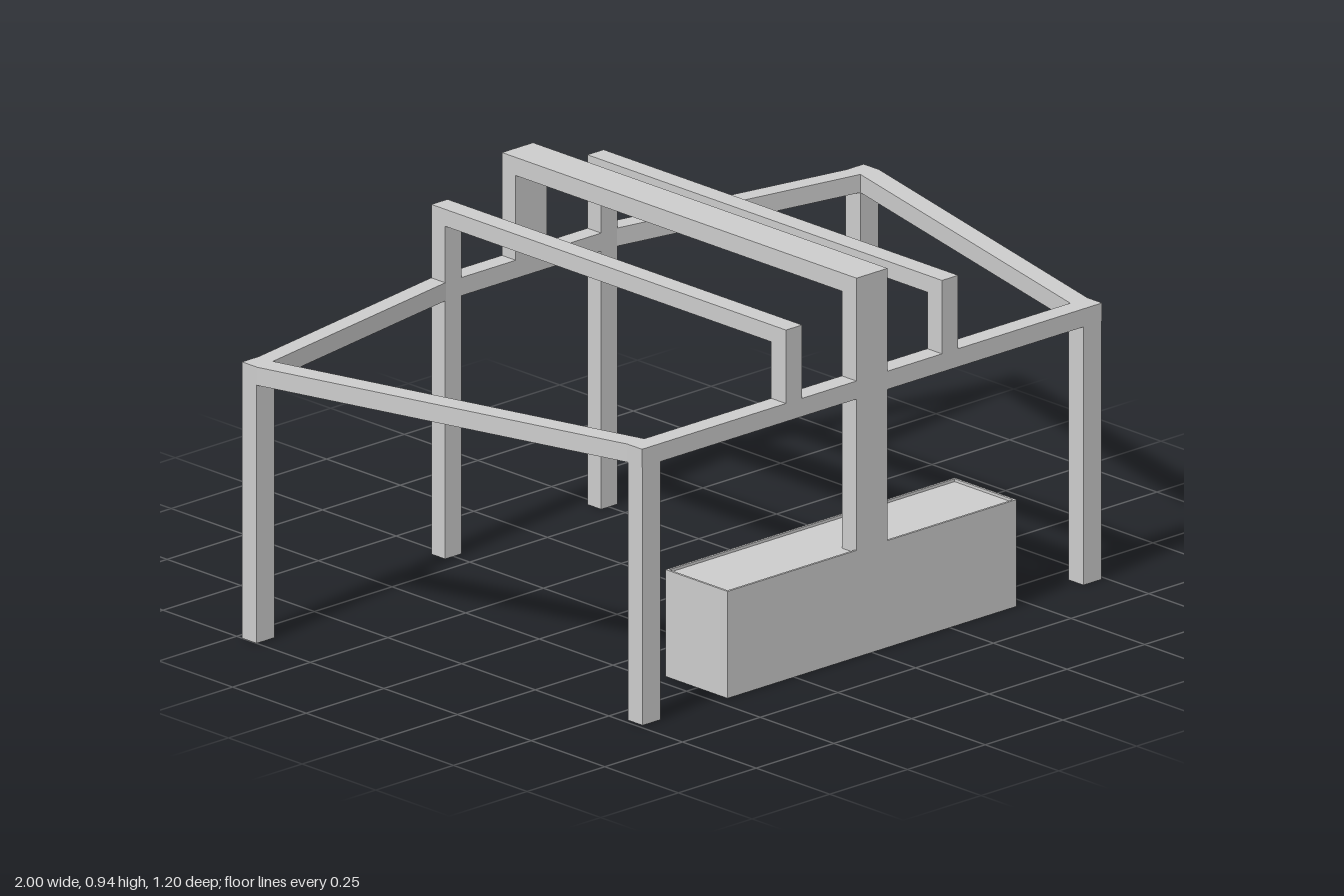
import * as THREE from 'three';

const material = new THREE.MeshStandardMaterial({ color: 0xcccccc, side: THREE.DoubleSide, flatShading: true });

// Box given by its limits; an open one has no bottom face
function box(name, [x0, x1], [y0, y1], [z0, z1], open = false) {
  const g = new THREE.BoxGeometry(x1 - x0, y1 - y0, z1 - z0);
  if (open) {
    const index = Array.from(g.index.array);
    index.splice(18, 6);
    g.setIndex(index);
    g.clearGroups();
  }
  g.translate((x0 + x1) / 2, (y0 + y1) / 2, (z0 + z1) / 2);
  const mesh = new THREE.Mesh(g, material);
  mesh.name = name;
  return mesh;
}

// Mirror-symmetric outline from its +x half, listed front to back as [x, z]
function outline(half, PathType) {
  const left = half.map(([x, z]) => new THREE.Vector2(x, -z));
  const right = half.map(([x, z]) => new THREE.Vector2(-x, -z)).reverse();
  return new PathType([...left, ...right]);
}

export function createModel() {
  const model = new THREE.Group();
  const FRONT = [0.552, 0.602], BACK = [-0.602, -0.555];
  const ringBottom = 0.64, ringTop = 0.685;

  // Horizontal ring frame
  const shape = outline([[0.74, 0.602], [0.74, 0.552], [1, -0.43], [1, -0.482], [0.945, -0.482], [0.28, -0.602]], THREE.Shape);
  shape.holes.push(outline([[0.685, 0.552], [0.945, -0.435], [0.275, -0.555]], THREE.Path));
  const ringGeometry = new THREE.ExtrudeGeometry(shape, { depth: ringTop - ringBottom, bevelEnabled: false });
  ringGeometry.rotateX(-Math.PI / 2).translate(0, ringBottom, 0);
  const ring = new THREE.Mesh(ringGeometry, material);
  ring.name = 'ringFrame';
  model.add(ring);

  for (const side of [1, -1]) {
    const span = (a, b) => (side > 0 ? [a, b] : [-b, -a]);
    const tag = side > 0 ? 'Left' : 'Right';
    // Corner legs
    model.add(box('frontLeg' + tag, span(0.68, 0.738), [0, ringBottom], FRONT, true));
    model.add(box('backCornerLeg' + tag, span(0.942, 1), [0, ringBottom], [-0.482, -0.432], true));
    // Side arch: long rear leg, short front post, rail on top
    const rail = span(0.225, 0.277);
    model.add(box('backLeg' + tag, rail, [0, 0.825], BACK, true));
    model.add(box('frontPost' + tag, rail, [ringTop, 0.825], FRONT));
    model.add(box('sideRail' + tag, rail, [0.825, 0.867], [BACK[0], FRONT[1]]));
  }

  // Central arch
  const centre = [-0.05, 0.05];
  model.add(box('centreFrontPost', centre, [0.255, 0.895], FRONT));
  model.add(box('centreBackPost', centre, [ringTop, 0.895], BACK));
  model.add(box('centreBeam', centre, [0.895, 0.94], [BACK[0], FRONT[1]]));

  // Hollow base block: four thin walls around a slightly recessed lid
  const base = new THREE.Group();
  base.name = 'baseBlock';
  const w = 0.465, h = 0.265, z0 = 0.392, z1 = 0.602, t = 0.006;
  base.add(box('baseFrontWall', [-w, w], [0, h], [z1 - t, z1]));
  base.add(box('baseBackWall', [-w, w], [0, h], [z0, z0 + t]));
  base.add(box('baseLeftWall', [w - t, w], [0, h], [z0 + t, z1 - t]));
  base.add(box('baseRightWall', [-w, t - w], [0, h], [z0 + t, z1 - t]));
  base.add(box('baseLid', [t - w, w - t], [h - 0.012, h - 0.007], [z0 + t, z1 - t]));
  model.add(base);

  return model;
}
